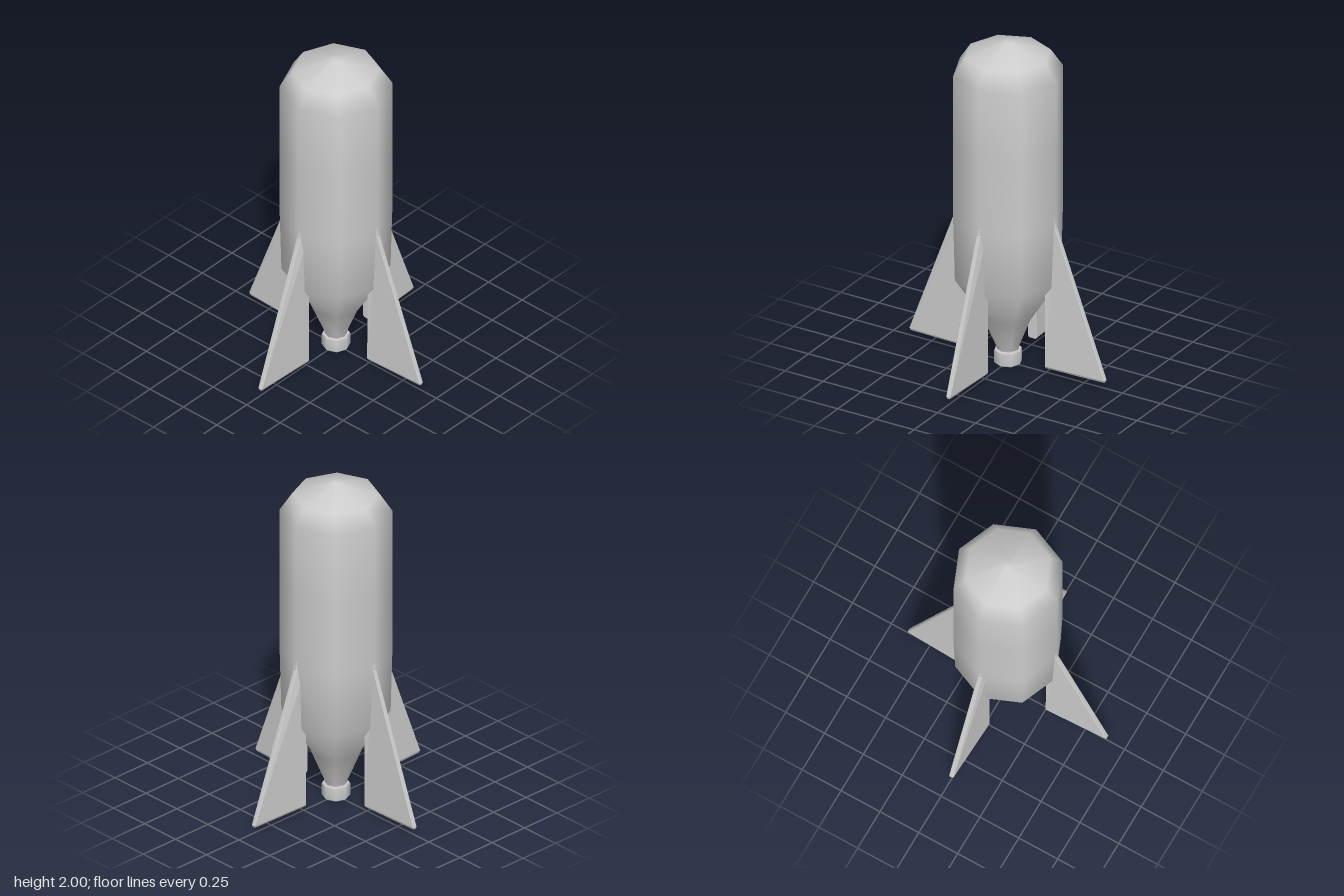
import * as THREE from 'three';

const grey = new THREE.MeshStandardMaterial({ color: 0xcccccc });

// Eight-sided smooth solid of revolution; points are [radius, y] from the bottom up
function turned(name, points) {
  const profile = points.map(([r, y]) => new THREE.Vector2(r, y));
  const mesh = new THREE.Mesh(new THREE.LatheGeometry(profile, 8), grey);
  mesh.name = name;
  return mesh;
}

// Swept fin pointing to +x: horizontal sections, thick at the root and thin at the outer edge
function finGeometry() {
  const root = 0.26;
  // [y, outer x, root half thickness, outer half thickness]
  const levels = [
    [0.037, 0.636, 0.022, 0.009],
    [0.05, 0.64, 0.03, 0.014],
    [0.92, 0.317, 0.028, 0.013],
    [1.04, 0.307, 0.012, 0.009],
  ];
  const rings = levels.map(([y, outer, a, b]) => [
    [root, y, a], [outer - 0.005, y, b], [outer, y, b * 0.7],
    [outer, y, -b * 0.7], [outer - 0.005, y, -b], [root, y, -a],
  ]);
  const n = rings[0].length;
  const positions = [];
  const tri = (...corners) => corners.forEach((c) => positions.push(...c));
  for (let i = 0; i < rings.length - 1; i++) {
    for (let j = 0; j < n; j++) {
      const k = (j + 1) % n;
      const [lo, hi] = [rings[i], rings[i + 1]];
      tri(lo[j], lo[k], hi[k]);
      tri(lo[j], hi[k], hi[j]);
    }
  }
  // Close the bottom and the top
  const [bottom, top] = [rings[0], rings[rings.length - 1]];
  for (let j = 1; j < n - 1; j++) {
    tri(bottom[0], bottom[j + 1], bottom[j]);
    tri(top[0], top[j], top[j + 1]);
  }
  const geometry = new THREE.BufferGeometry();
  geometry.setAttribute('position', new THREE.Float32BufferAttribute(positions, 3));
  geometry.computeVertexNormals();
  return geometry;
}

export function createModel() {
  const model = new THREE.Group();
  model.name = 'bottleRocket';

  // Bottle: neck at the bottom, domed end at the top
  model.add(turned('body', [
    [0.065, 0.07], [0.065, 0.1], [0.145, 0.295], [0.305, 0.545],
    [0.315, 0.93], [0.315, 1.4], [0.315, 1.815], [0.245, 1.92], [0.03, 2], [0, 2],
  ]));

  // Screw cap on the neck
  model.add(turned('cap', [
    [0, 0], [0.074, 0], [0.08, 0.008], [0.08, 0.078], [0.074, 0.088], [0, 0.092],
  ]));

  // Four fins, one on each corner of the bottle facing an axis
  const geometry = finGeometry();
  ['leftFin', 'backFin', 'rightFin', 'frontFin'].forEach((name, i) => {
    const fin = new THREE.Mesh(geometry, grey);
    fin.name = name;
    fin.rotation.y = (i * Math.PI) / 2;
    model.add(fin);
  });

  return model;
}
